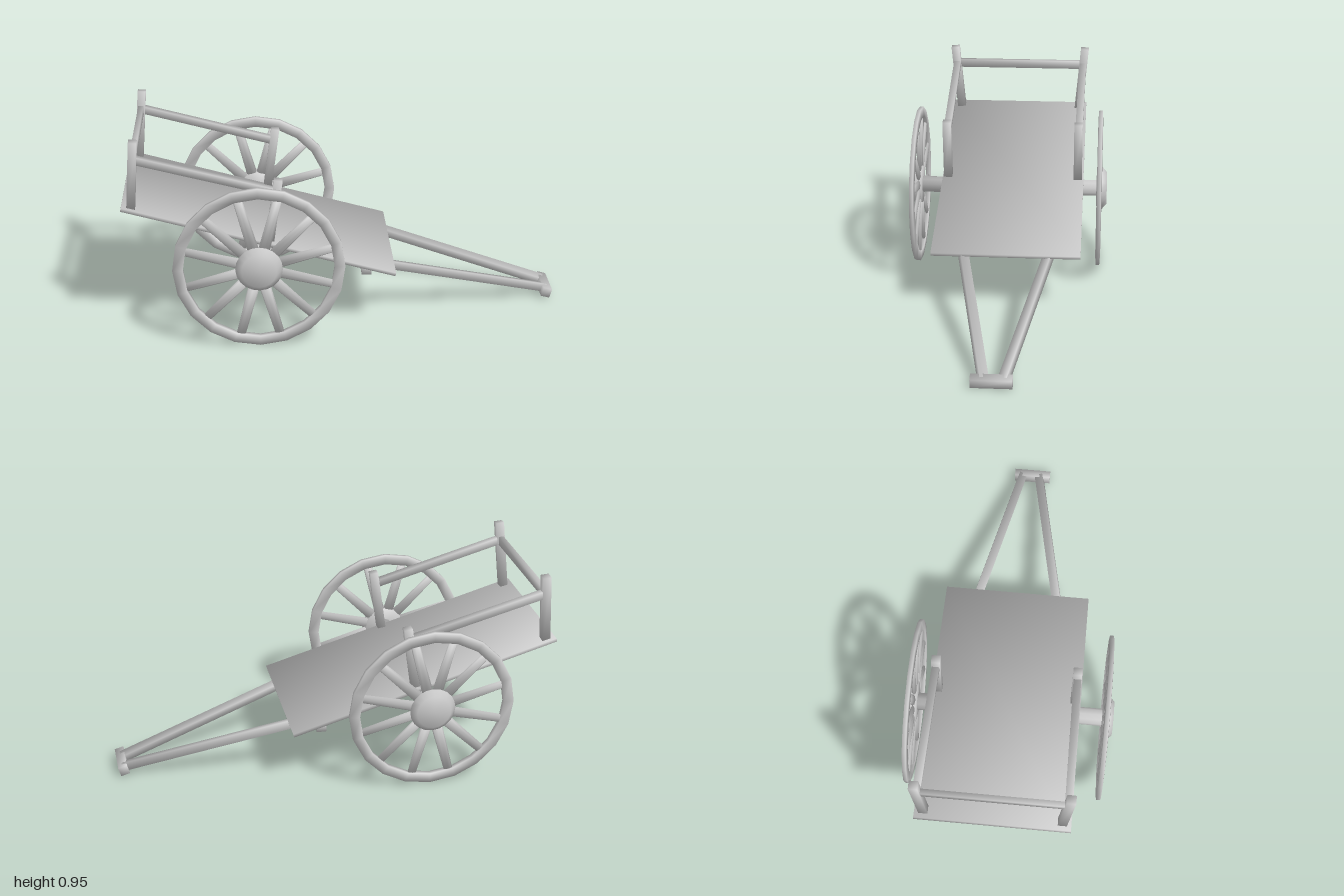
import * as THREE from 'three';
import { mergeVertices } from 'three/addons/utils/BufferGeometryUtils.js';

const V = (x, y, z) => new THREE.Vector3(x, y, z);
const material = new THREE.MeshStandardMaterial({ color: 0xcccccc });

// Weld the corners and give each an angle-weighted normal, so shading rolls over every edge
function soften(source) {
  source.deleteAttribute('normal');
  source.deleteAttribute('uv');
  const geometry = mergeVertices(source, 1e-5);
  const { position } = geometry.attributes;
  const index = geometry.index.array;
  const normals = Array.from({ length: position.count }, () => V(0, 0, 0));
  for (let i = 0; i < index.length; i += 3) {
    const ids = [index[i], index[i + 1], index[i + 2]];
    const [a, b, c] = ids.map((id) => V(0, 0, 0).fromBufferAttribute(position, id));
    const face = b.clone().sub(a).cross(c.clone().sub(a));
    if (face.length() < 1e-12) continue;
    face.normalize();
    [[a, b, c], [b, c, a], [c, a, b]].forEach(([p, q, r], k) => {
      normals[ids[k]].addScaledVector(face, q.clone().sub(p).angleTo(r.clone().sub(p)));
    });
  }
  const flatNormals = normals.flatMap((n) => n.normalize().toArray());
  geometry.setAttribute('normal', new THREE.Float32BufferAttribute(flatNormals, 3));
  return geometry;
}

function part(name, geometry) {
  const mesh = new THREE.Mesh(soften(geometry), material);
  mesh.name = name;
  return mesh;
}

// Square timber between two points
function beam(name, a, b, w, d) {
  const dir = b.clone().sub(a);
  const mesh = part(name, new THREE.BoxGeometry(w, dir.length(), d));
  mesh.quaternion.setFromUnitVectors(V(0, 1, 0), dir.normalize());
  mesh.position.copy(a).add(b).multiplyScalar(0.5);
  return mesh;
}

const lathe = (pts, sides) =>
  new THREE.LatheGeometry(pts.map(([r, y]) => new THREE.Vector2(r, y)), sides);

// Spoked wheel, axis along +y with the hub cap on the +y side
function createWheel(name) {
  const wheel = new THREE.Group();
  wheel.name = name;

  wheel.add(part('rim', lathe([
    [0.335, -0.012], [0.382, -0.009], [0.382, 0.009], [0.335, 0.012], [0.335, -0.012],
  ], 20)));
  wheel.add(part('hub', lathe([
    [0, -0.015], [0.09, -0.013], [0.105, 0.013], [0.078, 0.037], [0, 0.037],
  ], 20)));

  const spokeGeometry = new THREE.CylinderGeometry(0.02, 0.026, 0.28, 8);
  spokeGeometry.scale(1, 1, 0.42);
  spokeGeometry.rotateX(Math.PI / 2);
  spokeGeometry.translate(0, 0, 0.205);
  const spoke = part('spoke', spokeGeometry);
  for (let i = 0; i < 12; i++) {
    const copy = spoke.clone();
    copy.rotation.y = ((i + 0.5) / 12) * Math.PI * 2;
    wheel.add(copy);
  }
  return wheel;
}

export function createModel() {
  const cart = new THREE.Group();
  cart.name = 'handcart';
  const midZ = -0.02; // the body sits slightly behind the wheel centre line

  // Sloping bed
  const bed = part('bed', new THREE.BoxGeometry(1.272, 0.016, 0.69));
  bed.position.set(-0.389, 0.454, midZ);
  bed.rotation.z = -Math.atan2(0.353, 1.22);
  cart.add(bed);

  // Wheels and axle
  for (const side of [1, -1]) {
    const wheel = createWheel(side > 0 ? 'frontWheel' : 'backWheel');
    wheel.position.set(-0.397, 0.388, side * 0.443);
    wheel.rotation.x = side * Math.PI / 2;
    cart.add(wheel);
  }
  const axle = part('axle', new THREE.CylinderGeometry(0.04, 0.04, 0.88, 10));
  axle.rotation.x = Math.PI / 2;
  axle.position.set(-0.397, 0.388, 0);
  cart.add(axle);

  // Posts, side rails and shafts, mirrored about the body centre
  for (const side of [1, -1]) {
    const z = (d) => midZ + side * d;
    cart.add(beam('tallPost', V(-0.957, 0.625, z(0.305)), V(-0.93, 0.948, z(0.333)), 0.038, 0.04));
    cart.add(beam('shortPost', V(-0.345, 0.457, z(0.317)), V(-0.303, 0.748, z(0.317)), 0.038, 0.04));
    cart.add(beam('sideRail', V(-0.935, 0.86, z(0.324)), V(-0.31, 0.688, z(0.318)), 0.034, 0.034));
    cart.add(beam('shaft', V(0.05, 0.3, z(0.222)), V(0.972, 0.038, z(0.042)), 0.038, 0.04));
  }
  cart.add(beam('backRail', V(-0.937, 0.86, midZ - 0.32), V(-0.937, 0.86, midZ + 0.32), 0.024, 0.04));
  cart.add(beam('underBedBar', V(0.09, 0.295, midZ - 0.33), V(0.09, 0.295, midZ + 0.33), 0.045, 0.04));

  // Grip across the end of the shafts
  const grip = part('grip', new THREE.BoxGeometry(0.042, 0.044, 0.18));
  grip.position.set(0.973, 0.035, -0.012);
  grip.rotation.z = -0.28;
  cart.add(grip);

  return cart;
}
